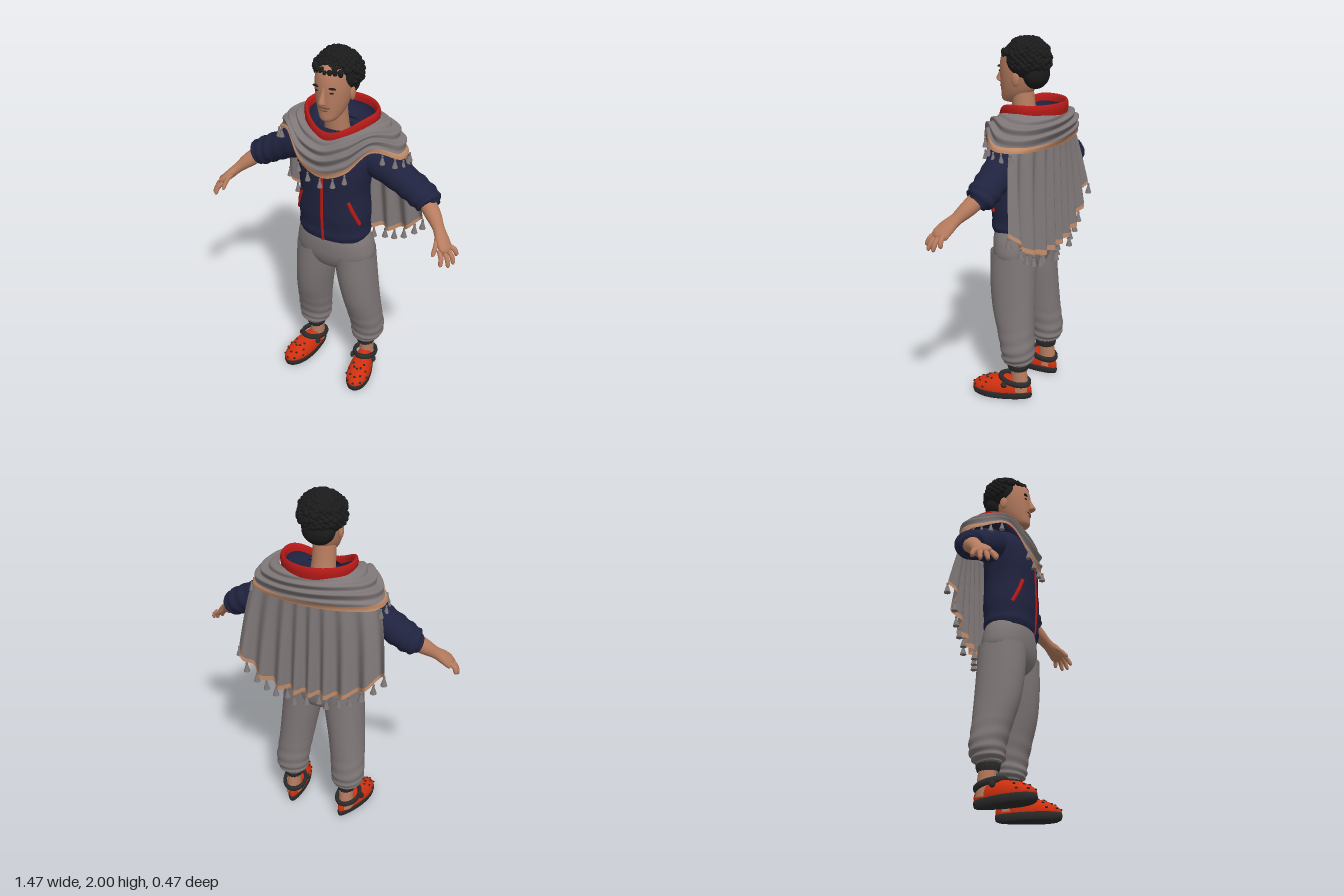
import * as THREE from 'three';
import { mergeGeometries } from 'three/addons/utils/BufferGeometryUtils.js';

const V = (x, y, z) => new THREE.Vector3(x, y, z);
const mat = (name, color, side = THREE.FrontSide) => {
  const m = new THREE.MeshStandardMaterial({ color, side });
  m.name = name;
  return m;
};

// Grid surface from fn(u, v); outward is u x v, wrapped around u when closed
function surface(fn, nu, nv, closed = true) {
  const pos = [], idx = [], w = closed ? nu : nu + 1;
  for (let j = 0; j <= nv; j++)
    for (let i = 0; i < w; i++) pos.push(...fn(i / nu, j / nv).toArray());
  for (let j = 0; j < nv; j++)
    for (let i = 0; i < nu; i++) {
      const a = j * w + i, b = j * w + (i + 1) % w;
      idx.push(a, b, b + w, a, b + w, a + w);
    }
  const g = new THREE.BufferGeometry();
  g.setAttribute('position', new THREE.Float32BufferAttribute(pos, 3));
  g.setIndex(idx);
  g.computeVertexNormals();
  return g;
}

// Smoothly interpolate rows of numbers
function sample(rows, t) {
  const f = t * (rows.length - 1), i = Math.min(Math.floor(f), rows.length - 2), k = f - i;
  const at = n => rows[Math.max(0, Math.min(rows.length - 1, n))];
  return rows[i].map((b, c) => {
    const a = at(i - 1)[c], d = at(i + 1)[c], e = at(i + 2)[c];
    return b + 0.5 * k * (d - a + k * (2 * a - 5 * b + 4 * d - e + k * (3 * (b - d) + e - a)));
  });
}

// Tube through rows [x, y, z, depth radius, width radius]; flat keeps rings level
function loft(rows, { flat = false, p = 1, n = 28, m = 28, ripple = () => 0 } = {}) {
  const pw = x => Math.sign(x) * Math.abs(x) ** p;
  return surface((u, v) => {
    const [x, y, z, rb, rn] = sample(rows, v), a = u * Math.PI * 2;
    const q = sample(rows, Math.min(1, v + 0.01)), o = sample(rows, Math.max(0, v - 0.01));
    const T = flat ? V(0, 1, 0) : V(q[0] - o[0], q[1] - o[1], q[2] - o[2]).normalize();
    const B = V(0, 0, 1).addScaledVector(T, -T.z).normalize(), N = T.clone().cross(B);
    const r = ripple(a, v);
    return V(x, y, z).addScaledVector(B, (rb + r) * pw(Math.cos(a))).addScaledVector(N, (rn + r) * pw(Math.sin(a)));
  }, n, m);
}

const ball = (x, y, z, rx, ry, rz, d = 16) =>
  new THREE.SphereGeometry(1, d, Math.ceil(d * 0.7)).scale(rx, ry, rz).translate(x, y, z);

export function createModel() {
  const model = new THREE.Group();
  const D = THREE.DoubleSide;
  const grey = mat('grey cloth', 0x7f7777, D), peach = mat('peach trim', 0xc08a68, D);
  const navy = mat('navy fleece', 0x20233f, D), red = mat('red lining', 0xb51a17, D);
  const skin = mat('skin', 0xb67c5f), black = mat('black hair', 0x1b1b1c);
  const orange = mat('red rubber', 0xd0300f), charcoal = mat('charcoal', 0x2b2b2c);
  const stubble = mat('stubble brown', 0x74503f);
  const add = (name, geo, m, parent = model) => {
    const mesh = new THREE.Mesh(geo, m);
    mesh.name = name;
    parent.add(mesh);
    return mesh;
  };

  // Head and face
  add('head', loft([[0, 1.65, 0.085, 0.012, 0.01], [0, 1.662, 0.088, 0.055, 0.042], [0, 1.71, 0.06, 0.088, 0.07],
    [0, 1.78, 0.045, 0.106, 0.087], [0, 1.86, 0.037, 0.114, 0.092], [0, 1.93, 0.025, 0.1, 0.08], [0, 1.97, 0.02, 0.01, 0.01]], { flat: true }), skin);
  add('neck', loft([[0, 1.48, -0.01, 0.07, 0.075], [0, 1.6, 0.015, 0.063, 0.064], [0, 1.72, 0.03, 0.06, 0.06]], { flat: true }), skin);
  add('nose', loft([[0, 1.75, 0.148, 0.004, 0.008], [0, 1.76, 0.158, 0.018, 0.021], [0, 1.772, 0.163, 0.021, 0.018],
    [0, 1.81, 0.15, 0.015, 0.011], [0, 1.845, 0.142, 0.01, 0.01]], { flat: true, n: 14, m: 14 }), skin);
  add('moustache', ball(0, 1.737, 0.142, 0.034, 0.007, 0.012), stubble);
  add('lips', ball(0, 1.72, 0.139, 0.024, 0.006, 0.012), stubble);
  for (const s of [1, -1]) {
    add('ear', ball(s * 0.092, 1.785, 0.02, 0.012, 0.037, 0.022), skin);
    add('eye', ball(s * 0.038, 1.818, 0.139, 0.015, 0.005, 0.006), black);
    add('eyebrow', ball(s * 0.041, 1.842, 0.139, 0.025, 0.006, 0.009).rotateZ(0), black);
  }

  // Hair: cap, nape and seeded curls
  let seed = 7;
  const rnd = () => (seed = (seed * 16807) % 2147483647) / 2147483647;
  const hair = [ball(0, 1.877, -0.003, 0.115, 0.112, 0.118, 32), ball(0, 1.81, -0.05, 0.088, 0.08, 0.068, 24)];
  for (let i = 0; i < 230; i++) {
    const y = 1 - 1.35 * (i + 0.5) / 230, r = Math.sqrt(1 - y * y), a = i * 2.39996;
    const x = r * Math.sin(a), z = r * Math.cos(a);
    if (z > 0.25 && y < 0.28) continue;
    const k = 0.012 + 0.01 * rnd();
    hair.push(ball(x * 0.112, 1.877 + y * 0.108, z * 0.115, k * 1.2, k * 0.9, k, 8));
  }
  for (let i = -4; i <= 4; i++)
    hair.push(ball(i * 0.022, 1.905 + 0.018 * rnd(), 0.128 - 0.0032 * i * i, 0.017, 0.02, 0.014, 8));
  add('hair', mergeGeometries(hair), black);

  // Jacket, zip and pockets
  add('jacketBody', loft([[0, 0.968, 0.035, 0.13, 0.19], [0, 1.0, 0.035, 0.138, 0.202], [0, 1.04, 0.035, 0.136, 0.197],
    [0, 1.12, 0.035, 0.142, 0.2], [0, 1.25, 0.035, 0.14, 0.19], [0, 1.38, 0.033, 0.138, 0.207], [0, 1.48, 0.015, 0.128, 0.215],
    [0, 1.55, -0.01, 0.115, 0.16], [0, 1.59, -0.01, 0.09, 0.1]], { flat: true, p: 0.85, n: 40, m: 36 }), navy);
  add('zip', loft([[0, 0.97, 0.168, 0.006, 0.009], [0, 1.03, 0.174, 0.006, 0.009], [0, 1.12, 0.179, 0.006, 0.009],
    [0, 1.25, 0.177, 0.006, 0.009], [0, 1.4, 0.173, 0.006, 0.009]], { flat: true, n: 8 }), red);
  for (const s of [1, -1]) {
    add('pocketTrim', loft([[s * 0.183, 1.09, 0.1, 0.012, 0.01], [s * 0.16, 1.165, 0.129, 0.012, 0.01],
      [s * 0.136, 1.235, 0.144, 0.012, 0.01]], { n: 10, m: 10 }), red);
    add('sleeve', loft([[s * 0.13, 1.465, -0.01, 0.09, 0.08], [s * 0.22, 1.435, -0.015, 0.09, 0.095], [s * 0.34, 1.37, -0.02, 0.083, 0.08],
      [s * 0.44, 1.315, -0.022, 0.083, 0.076], [s * 0.515, 1.272, -0.015, 0.077, 0.068], [s * 0.54, 1.255, -0.005, 0.04, 0.036]],
      { m: 50, ripple: (a, v) => 0.005 * Math.sin(v * 48 + 1.5 * Math.sin(a)) * v }), navy);

    // Forearm, palm and fingers
    add('forearm', loft([[s * 0.49, 1.285, -0.015, 0.046, 0.046], [s * 0.56, 1.23, 0.025, 0.042, 0.04], [s * 0.61, 1.185, 0.062, 0.034, 0.028],
      [s * 0.645, 1.15, 0.092, 0.044, 0.026], [s * 0.678, 1.115, 0.116, 0.047, 0.021], [s * 0.69, 1.1, 0.122, 0.02, 0.01]]), skin);
    const fingers = [[0.655, 1.118, 0.15, 0.688, 1.055, 0.193], [0.672, 1.112, 0.133, 0.718, 1.042, 0.162],
      [0.685, 1.112, 0.11, 0.73, 1.045, 0.125], [0.69, 1.12, 0.088, 0.728, 1.07, 0.08], [0.62, 1.165, 0.1, 0.638, 1.095, 0.185]];
    for (const [x, y, z, X, Y, Z] of fingers)
      add('finger', loft([[s * x, y, z, 0.012, 0.012], [s * (x + X) / 2 + s * 0.006, (y + Y) / 2 + 0.006, (z + Z) / 2, 0.0135, 0.0125],
        [s * (X * 0.9 + x * 0.1), Y * 0.9 + y * 0.1, Z * 0.9 + z * 0.1, 0.01, 0.01], [s * X, Y, Z, 0.002, 0.002]], { n: 10, m: 12 }), skin);
  }

  // Trousers
  add('hips', loft([[0, 0.72, 0.015, 0.02, 0.03], [0, 0.76, 0.015, 0.1, 0.12], [0, 0.83, 0.02, 0.13, 0.222],
    [0, 0.92, 0.025, 0.133, 0.222], [0, 1.0, 0.03, 0.12, 0.19]], { flat: true, p: 0.9 }), grey);
  for (const s of [1, -1]) {
    add('trouserLeg', loft([[s * 0.17, 0.215, -0.03, 0.056, 0.048], [s * 0.173, 0.245, -0.033, 0.085, 0.084], [s * 0.176, 0.31, -0.034, 0.093, 0.095],
      [s * 0.165, 0.42, -0.015, 0.104, 0.097], [s * 0.15, 0.55, 0.006, 0.12, 0.101], [s * 0.132, 0.7, 0.018, 0.128, 0.108],
      [s * 0.116, 0.86, 0.022, 0.13, 0.11]],
      { flat: true, p: 0.95, n: 36, m: 60, ripple: (a, v) => 0.006 * Math.sin(v * 55 + 2 * Math.sin(a + s)) * Math.max(0, 1 - v * 1.7) }), grey);
    add('ribbedCuff', loft([[s * 0.17, 0.178, -0.032, 0.052, 0.046], [s * 0.17, 0.2, -0.032, 0.06, 0.052], [s * 0.17, 0.235, -0.032, 0.062, 0.054]],
      { flat: true, n: 48, m: 6, ripple: a => 0.003 * Math.sin(a * 16) }), charcoal);
    add('ankle', loft([[s * 0.172, 0.05, -0.035, 0.06, 0.045], [s * 0.171, 0.11, -0.04, 0.05, 0.041], [s * 0.17, 0.21, -0.035, 0.043, 0.04]], { flat: true }), skin);

    // Clog with sole, vent holes and heel strap
    const shoe = new THREE.Group();
    shoe.name = 'shoe';
    shoe.position.set(s * 0.19, 0, 0.06);
    shoe.rotation.y = s * 0.2;
    model.add(shoe);
    const foot = (a, k, y) => V(k * Math.sin(a) * (0.063 + 0.02 * Math.cos(a)), y, k * 0.172 * Math.cos(a));
    const upperPoint = (u, v) => {
      const [k, h] = sample([[0.985, 0], [1, 0.022], [0.9, 0.05], [0.62, 0.078], [0.3, 0.086], [0.001, 0.088]], v);
      const q = foot(u * Math.PI * 2, k, 0);
      q.y = 0.036 + h * (1 - 0.28 * q.z / 0.172);
      return q;
    };
    const soleRows = [[0.001, 0.001], [0.9, 0.001], [0.99, 0.008], [1.02, 0.025], [1.01, 0.042], [0.9, 0.046]];
    add('sole', surface((u, v) => foot(u * Math.PI * 2, ...soleRows[Math.round(v * 5)]), 36, 5), charcoal, shoe);
    add('clogUpper', surface(upperPoint, 36, 20), orange, shoe);
    for (const v of [0.28, 0.48, 0.66])
      for (let i = -2; i <= 2; i++) {
        const q = upperPoint((i * 0.075 + 1) % 1, v);
        add('ventHole', ball(q.x, q.y, q.z, 0.008, 0.005, 0.008, 8), charcoal, shoe);
      }
    const strap = new THREE.TorusGeometry(1, 0.17, 10, 36).rotateX(Math.PI / 2).scale(0.062, 0.1, 0.082);
    add('heelStrap', strap, charcoal, shoe).position.set(0, 0.112, -0.075);
    shoe.children.at(-1).rotation.x = -0.2;
    for (const k of [1, -1]) add('strapRivet', ball(k * 0.066, 0.098, -0.03, 0.012, 0.018, 0.018, 12), charcoal, shoe);
  }

  // Hood lying open around the neck
  const hood = rows => surface((u, v) => {
    const a = u * Math.PI * 2, c = Math.cos(a), [k, dy] = sample(rows, v);
    return V(0.192 * k * Math.sin(a), 1.665 + dy - 0.085 * Math.max(0, c) ** 3, -0.04 + 0.165 * k * c);
  }, 56, 16);
  add('hoodRim', hood([[1.03, -0.05], [1.05, -0.012], [1.0, 0.012], [0.93, 0.0], [0.9, -0.03]]), red);
  add('hoodLining', hood([[0.92, -0.015], [0.85, -0.05], [0.65, -0.08], [0.3, -0.1]]), navy);

  // Draped cowl between a neck ring and a hem ring
  const ring = pts => new THREE.CatmullRomCurve3(
    [...pts, ...pts.slice(1, -1).reverse().map(([x, y, z]) => [-x, y, z])].map(q => V(...q)), true);
  const top = ring([[0, 1.555, 0.14], [0.1, 1.59, 0.115], [0.175, 1.625, 0.05], [0.2, 1.635, -0.05], [0.18, 1.63, -0.125], [0.1, 1.625, -0.185], [0, 1.622, -0.2]]);
  const hem = ring([[0, 1.36, 0.185], [0.13, 1.41, 0.172], [0.245, 1.53, 0.105], [0.36, 1.475, 0.0], [0.34, 1.47, -0.125], [0.2, 1.465, -0.19], [0, 1.46, -0.21]]);
  const cowl = (u, v) => {
    const q = top.getPoint(u).lerp(hem.getPoint(u), v), out = V(q.x, 0, q.z + 0.03).normalize();
    const b = Math.sin(Math.PI * v) * (0.026 + 0.011 * Math.sin(6.283 * (3.6 * v + 0.35 * Math.sin(12.566 * u + 0.6))));
    q.addScaledVector(out, b);
    q.y += b * 0.6;
    return q;
  };
  add('cowl', surface((u, v) => cowl(u, (1 - v) * 0.86), 96, 44), grey);
  add('cowlTrim', surface((u, v) => cowl(u, 1 - v * 0.14), 96, 6), peach);

  // Pleated cape down the back
  const cape = (u, v) => {
    const k = u * 2 - 1, low = 0.9 - 0.03 * k + 0.2 * Math.abs(k) ** 3;
    const fold = Math.sin(k * 27 + Math.sin(k * 5)) * (0.006 + 0.02 * v);
    return V(k * (0.33 + 0.1 * Math.sqrt(v)) + 0.012 * v, 1.5 + (low - 1.5) * v,
      -0.175 + (0.085 - 0.05 * v) * k * k + fold - 0.012 * v);
  };
  add('cape', surface((u, v) => cape(1 - u, 1 - 0.955 * v - 0.045), 120, 20, false), grey);
  add('capeTrim', surface((u, v) => cape(1 - u, 1 - 0.045 * v), 120, 2, false), peach);

  // Tassels along the hems
  const tassels = [];
  const tassel = (q, k = 1) => tassels.push(
    ball(q.x, q.y - 0.008 * k, q.z, 0.007 * k, 0.009 * k, 0.007 * k, 8),
    new THREE.CylinderGeometry(0.005 * k, 0.018 * k, 0.045 * k, 10).translate(q.x, q.y - 0.036 * k, q.z));
  for (let i = 0; i <= 14; i++) tassel(cape(i / 14, 1));
  for (const u of [0, 0.045, 0.085, 0.195, 0.225, 0.255, 0.285, 0.315])
    for (const w of u ? [u, 1 - u] : [0]) {
      const q = cowl(w, 1);
      q.x *= 1.02;
      q.z += u < 0.2 ? 0.008 : 0;
      tassel(q, 0.85);
    }
  add('tassels', mergeGeometries(tassels), grey);

  return model;
}
